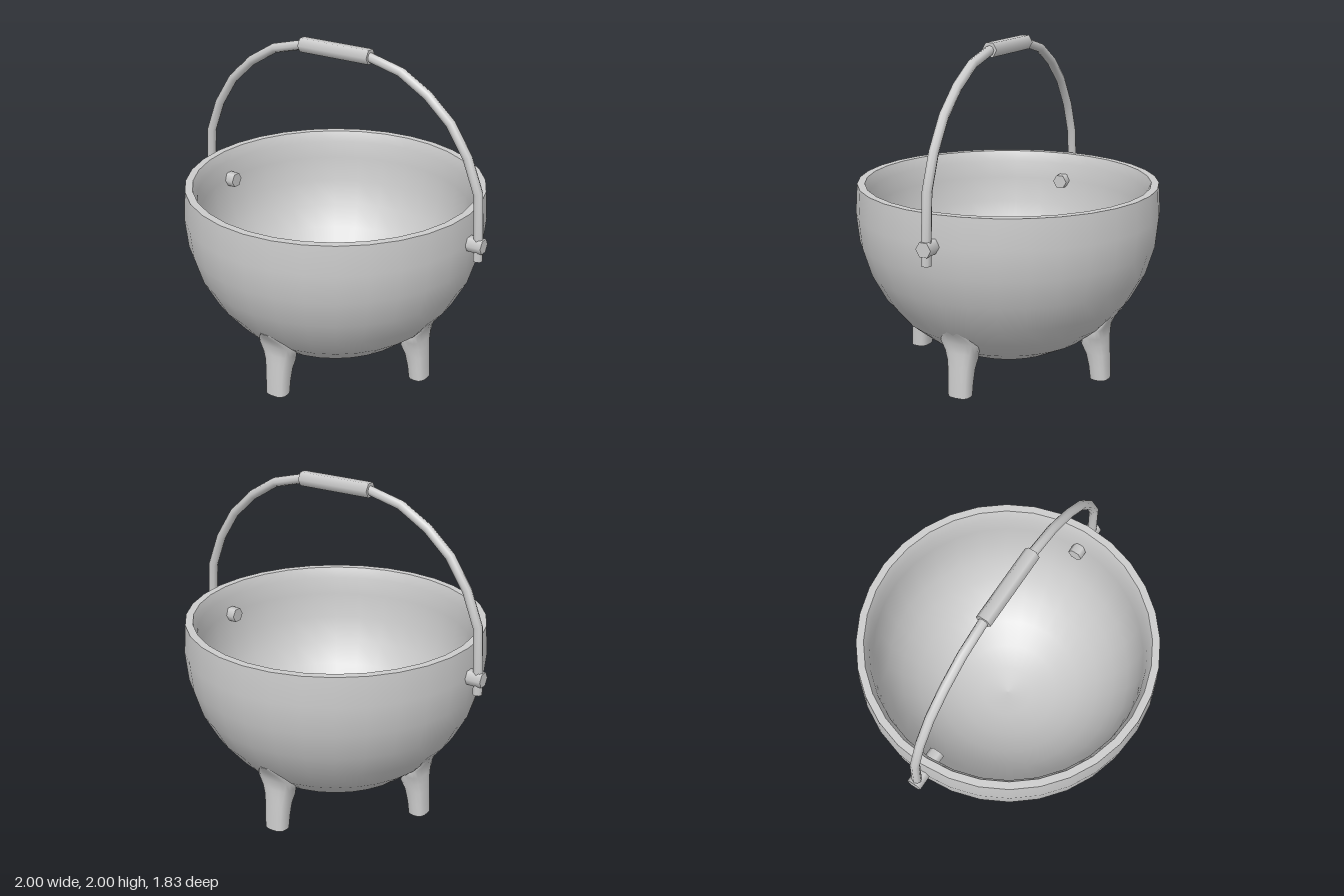
import * as THREE from 'three';

const mat = new THREE.MeshStandardMaterial({ color: 0xcccccc, side: THREE.DoubleSide });

function add(parent, name, geometry) {
  const mesh = new THREE.Mesh(geometry, mat);
  mesh.name = name;
  parent.add(mesh);
  return mesh;
}

// Skin a list of equal-sized point rings, with flat caps on both ends
function loft(rings) {
  const n = rings[0].length, pos = [], idx = [];
  rings.forEach(r => r.forEach(p => pos.push(p.x, p.y, p.z)));
  for (let i = 0; i < rings.length - 1; i++) {
    for (let j = 0; j < n; j++) {
      const a = i * n + j, b = i * n + (j + 1) % n;
      idx.push(a, a + n, b, b, a + n, b + n);
    }
  }
  [rings[0], rings[rings.length - 1]].forEach((r, end) => {
    const base = pos.length / 3;
    r.forEach(p => pos.push(p.x, p.y, p.z));
    for (let j = 1; j < n - 1; j++) {
      if (end) idx.push(base, base + j + 1, base + j);
      else idx.push(base, base + j, base + j + 1);
    }
  });
  const g = new THREE.BufferGeometry();
  g.setAttribute('position', new THREE.Float32BufferAttribute(pos, 3));
  g.setIndex(idx);
  g.computeVertexNormals();
  return g;
}

// Points on a spherical bowl wall, from the bottom up to polar angle `end`
function arc(radius, end, steps) {
  const pts = [];
  for (let i = 0; i <= steps; i++) {
    const a = (i / steps) * end;
    pts.push(new THREE.Vector2(radius * Math.sin(a), 0.98 - radius * Math.cos(a)));
  }
  return pts;
}

// Leg: superellipse sections [y, inner, outer, half width], leaning out along +x
function legGeometry() {
  const sections = [
    [0, 0.56, 0.672, 0.07], [0.08, 0.55, 0.668, 0.073], [0.16, 0.53, 0.664, 0.078],
    [0.22, 0.50, 0.66, 0.088], [0.27, 0.52, 0.657, 0.102], [0.33, 0.57, 0.656, 0.122],
    [0.39, 0.62, 0.69, 0.09], [0.45, 0.68, 0.735, 0.04],
  ];
  const n = 16;
  const soft = v => Math.sign(v) * Math.pow(Math.abs(v), 0.75);
  return loft(sections.map(([y, inner, outer, w]) => {
    const ring = [];
    for (let j = 0; j < n; j++) {
      const t = -(j / n) * Math.PI * 2;
      ring.push(new THREE.Vector3(
        (inner + outer) / 2 + soft(Math.cos(t)) * (outer - inner) / 2, y, soft(Math.sin(t)) * w));
    }
    return ring;
  }));
}

// Bail: round bar following a mirrored polyline in the xy plane
function bailGeometry() {
  const half = [
    [0.967, 0.885], [0.965, 1.0], [0.947, 1.29], [0.87, 1.49],
    [0.757, 1.665], [0.61, 1.80], [0.435, 1.905], [0.22, 1.96],
  ];
  const path = [...half, ...half.slice().reverse().map(([x, y]) => [-x, y])]
    .map(([x, y]) => new THREE.Vector3(x, y, 0));
  const n = 8, r = 0.029;
  return loft(path.map((p, i) => {
    const dir = path[Math.min(i + 1, path.length - 1)].clone()
      .sub(path[Math.max(i - 1, 0)]).normalize();
    const side = new THREE.Vector3(-dir.y, dir.x, 0);
    const ring = [];
    for (let j = 0; j < n; j++) {
      const t = -(j / n) * Math.PI * 2;
      const q = p.clone().addScaledVector(side, Math.cos(t) * r);
      q.z = Math.sin(t) * r;
      ring.push(q);
    }
    return ring;
  }));
}

export function createModel() {
  const model = new THREE.Group();
  model.name = 'cauldron';

  // Round pot: outer wall, flat rim and inner wall
  const pot = new THREE.Group();
  pot.name = 'pot';
  pot.scale.z = 1.005;
  model.add(pot);
  const outer = arc(0.912, Math.PI / 2, 8);
  outer.push(new THREE.Vector2(0.9, 1.155));
  const inner = arc(0.82, Math.PI / 2, 8);
  inner.push(new THREE.Vector2(0.83, 1.09), new THREE.Vector2(0.855, 1.155));
  const rim = [new THREE.Vector2(0.9, 1.155), new THREE.Vector2(0.855, 1.155)];
  add(pot, 'outerWall', new THREE.LatheGeometry(outer, 32));
  add(pot, 'rim', new THREE.LatheGeometry(rim, 32));
  add(pot, 'innerWall', new THREE.LatheGeometry(inner.reverse(), 32));

  // Four flared legs
  const leg = legGeometry();
  for (let i = 0; i < 4; i++) {
    const mesh = add(model, 'leg', leg);
    mesh.rotation.y = i * Math.PI / 2;
    if (i % 2) mesh.scale.x = 1.015;
  }

  // Hexagonal pivot pins through the wall
  for (const s of [-1, 1]) {
    const pin = add(model, 'pivotPin', new THREE.CylinderGeometry(0.047, 0.047, 0.24, 6));
    pin.rotation.z = Math.PI / 2;
    pin.position.set(s * 0.88, 0.98, 0);
  }

  // Carrying bail with hexagonal grip
  add(model, 'bail', bailGeometry());
  const grip = add(model, 'grip', new THREE.CylinderGeometry(0.047, 0.047, 0.47, 6));
  grip.rotation.z = Math.PI / 2;
  grip.position.y = 1.96;

  return model;
}
